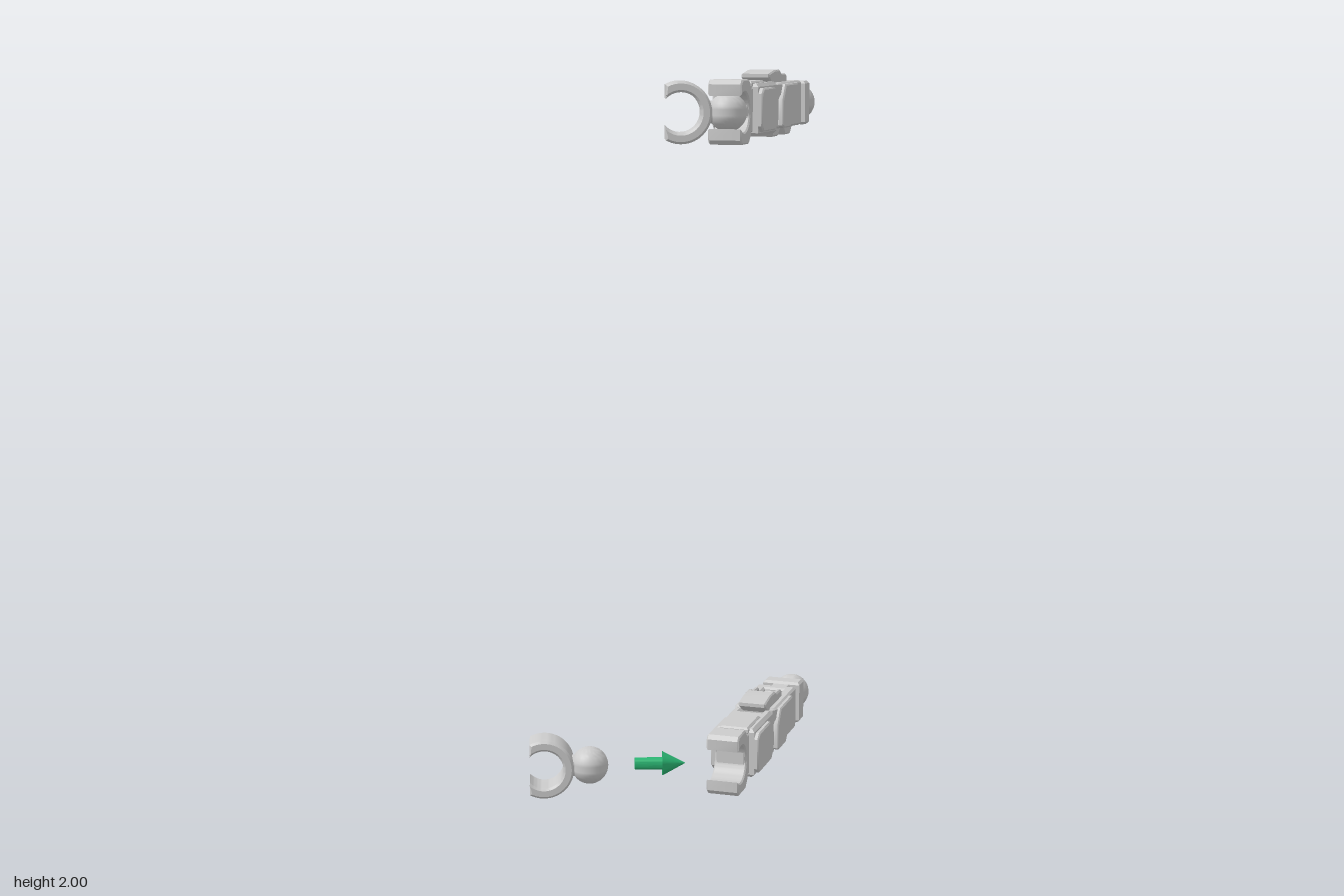
import * as THREE from 'three';
import { toCreasedNormals } from 'three/addons/utils/BufferGeometryUtils.js';

const grey = new THREE.MeshStandardMaterial({ color: 0xcccccc });
const green = new THREE.MeshStandardMaterial({ color: 0x2bb673 });

function add(group, name, geometry, material = grey) {
  const mesh = new THREE.Mesh(toCreasedNormals(geometry, 0.6), material);
  mesh.name = name;
  group.add(mesh);
  return mesh;
}

const polygon = (pts) => new THREE.Shape(pts.map(([x, y]) => new THREE.Vector2(x, y)));

// Extrude from a to b along z, with chamfered rims that stay inside the outline
function extrude(shape, a, b, bevel) {
  const g = new THREE.ExtrudeGeometry(shape, {
    depth: b - a - 2 * bevel, bevelEnabled: bevel > 0, bevelThickness: bevel,
    bevelSize: bevel, bevelOffset: -bevel, bevelSegments: 1, curveSegments: 24,
  });
  return g.translate(0, 0, a + bevel);
}

// Side outline (length, height) extruded across the arm
const across = (pts, a, b, bevel = 0.004) => extrude(polygon(pts), a, b, bevel);

// Plan outline (length, width) extruded upwards
const upward = (shape, a, b, bevel = 0.006) => extrude(shape, -b, -a, bevel).rotateX(Math.PI / 2);

const rect = (x0, x1, y0, y1) => [[x0, y0], [x1, y0], [x1, y1], [x0, y1]];

const crossPin = (r, width, x, y) =>
  new THREE.CylinderGeometry(r, r, width, 32).rotateX(Math.PI / 2).translate(x, y, 0);

const rod = (r0, r1, x0, x1) =>
  new THREE.CylinderGeometry(r1, r0, x1 - x0, 24).rotateZ(-Math.PI / 2).translate((x0 + x1) / 2, 0, 0);

const ball = (r, x) => new THREE.SphereGeometry(r, 32, 20).translate(x, 0, 0);

// Arm along +x, from the open claw at the origin to the shoulder ball
function createArm() {
  const arm = new THREE.Group();
  arm.name = 'arm';

  // Claw with a round socket that opens at the tip
  const claw = new THREE.Shape();
  const lip = Math.acos(-0.03 / 0.053);
  claw.moveTo(-0.03, 0.074);
  claw.lineTo(-0.02, 0.086);
  claw.lineTo(0.045, 0.086);
  claw.lineTo(0.068, 0.062);
  claw.lineTo(0.068, -0.062);
  claw.lineTo(0.045, -0.086);
  claw.lineTo(-0.02, -0.086);
  claw.lineTo(-0.03, -0.074);
  claw.absarc(0, 0, 0.053, -lip, lip, false);
  add(arm, 'claw', extrude(claw, -0.047, 0.047, 0.004));
  add(arm, 'wrist', across(rect(0.05, 0.12, -0.058, 0.062), -0.043, 0.043));

  // Forearm with a forked end
  add(arm, 'forearm', upward(polygon([
    [0.093, -0.058], [0.28, -0.06], [0.293, -0.054], [0.293, -0.03], [0.262, -0.03],
    [0.262, 0.03], [0.293, 0.03], [0.293, 0.054], [0.28, 0.06], [0.093, 0.058],
  ]), -0.069, 0.073, 0.009));
  add(arm, 'forearmTopPanel', upward(polygon(rect(0.085, 0.214, -0.042, 0.042)), 0.06, 0.079, 0.005));
  const forearmPanel = [
    [0.093, -0.042], [0.11, -0.057], [0.235, -0.057], [0.262, -0.03],
    [0.262, 0.02], [0.225, 0.06], [0.11, 0.06], [0.093, 0.045],
  ];

  // Elbow
  add(arm, 'elbow', crossPin(0.05, 0.078, 0.326, 0));

  // Upper arm with a slot in its top
  const upper = polygon([
    [0.317, -0.05], [0.327, -0.059], [0.552, -0.059],
    [0.552, 0.059], [0.327, 0.059], [0.317, 0.05],
  ]);
  upper.holes.push(new THREE.Path(rect(0.37, 0.52, -0.028, 0.028).reverse().map((p) => new THREE.Vector2(...p))));
  add(arm, 'upperArm', upward(upper, -0.058, 0.069));
  add(arm, 'slotFloor', across(rect(0.36, 0.53, -0.05, 0), -0.032, 0.032, 0));
  add(arm, 'slotBar', across([[0.49, -0.01], [0.52, -0.01], [0.52, 0.06], [0.506, 0.05]], -0.03, 0.03, 0));
  add(arm, 'slotRoller', crossPin(0.032, 0.054, 0.402, 0.052));
  const upperPanel = [
    [0.317, -0.05], [0.328, -0.057], [0.4, -0.057], [0.435, -0.025], [0.488, -0.012],
    [0.488, 0.055], [0.478, 0.064], [0.345, 0.064], [0.317, 0.02],
  ];

  // Raised hood above the elbow, carried on by a rail on each side of the slot
  add(arm, 'hood', across([
    [0.27, 0.084], [0.305, 0.06], [0.37, 0.06], [0.37, 0.103], [0.33, 0.103], [0.27, 0.094],
  ], -0.041, 0.041));
  const rail = [[0.35, 0.06], [0.456, 0.06], [0.456, 0.082], [0.448, 0.09], [0.4, 0.092], [0.38, 0.103], [0.35, 0.103]];

  // Mirrored side parts
  for (const [name, pts, a, b] of [
    ['forearmSidePanel', forearmPanel, 0.052, 0.071],
    ['upperArmSidePanel', upperPanel, 0.052, 0.07],
    ['hoodRail', rail, 0.027, 0.042],
  ]) {
    add(arm, name + 'Left', across(pts, a, b));
    add(arm, name + 'Right', across(pts, -b, -a));
  }

  // Pads under the upper arm
  for (const x of [0.285, 0.415]) {
    add(arm, 'lowerPad', across([
      [x, -0.05], [x + 0.025, -0.081], [x + 0.08, -0.081], [x + 0.11, -0.05],
    ], -0.042, 0.042));
  }

  // Shoulder: waist, cross bar, neck and ball with one flattened side
  add(arm, 'waist', across(rect(0.54, 0.62, -0.052, 0.058), -0.027, 0.027));
  add(arm, 'waistCore', across(rect(0.54, 0.62, -0.042, 0.035), -0.044, 0.044));
  add(arm, 'shoulderBar', upward(polygon(rect(0.605, 0.656, -0.057, 0.057)), -0.06, 0.065, 0.007));
  add(arm, 'shoulderNeck', rod(0.024, 0.022, 0.645, 0.71));
  const shoulder = ball(0.053, 0.73);
  const p = shoulder.attributes.position;
  for (let i = 0; i < p.count; i++) p.setZ(i, Math.max(p.getZ(i), -0.046));
  add(arm, 'shoulderBall', shoulder);

  arm.rotation.y = THREE.MathUtils.degToRad(70);
  return arm;
}

// Clip with an open barrel and a ball at +x
function createJoint() {
  const joint = new THREE.Group();
  joint.name = 'joint';
  const R = 0.083, r = 0.054, cut = -0.04;
  const outer = Math.acos(cut / R), inner = Math.acos(cut / r);
  const clip = new THREE.Shape();
  clip.absarc(0, 0, R, -outer, outer, false);
  clip.absarc(0, 0, r, inner, -inner, true);
  add(joint, 'clip', extrude(clip, -0.045, 0.045, 0.006));
  add(joint, 'clipNeck', rod(0.03, 0.03, 0.065, 0.11));
  add(joint, 'clipBall', ball(0.052, 0.127));
  return joint;
}

export function createModel() {
  const model = new THREE.Group();
  model.name = 'armAssembly';
  const place = (part, name, x, y) => {
    part.name = name;
    part.position.set(x, y, 0.343);
    model.add(part);
  };
  const low = 0.086, high = 1.897;

  place(createArm(), 'assembledArm', 0.122, high);
  place(createJoint(), 'assembledJoint', -0.005, high);
  place(createArm(), 'looseArm', 0.122, low);
  place(createJoint(), 'looseJoint', -0.385, low);

  // Arrow from the loose joint to the claw
  const arrow = new THREE.Group();
  add(arrow, 'arrowShaft', rod(0.017, 0.017, -0.132, -0.05), green);
  add(arrow, 'arrowHead', rod(0.034, 0, -0.055, 0.01), green);
  place(arrow, 'arrow', 0, low + 0.002);
  return model;
}
